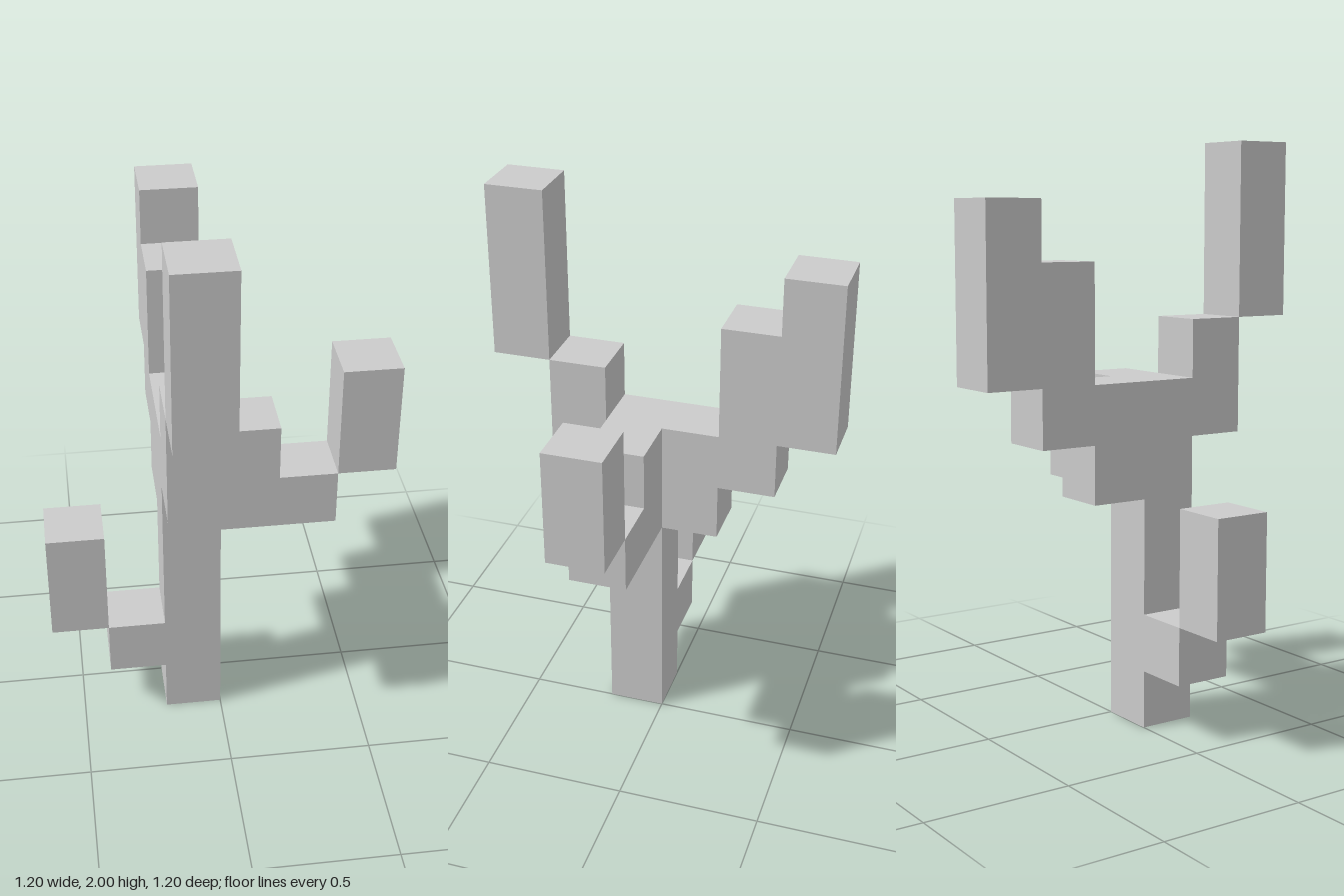
import * as THREE from 'three';

const UNIT = 0.2; // one block of the cactus grid

export function createModel() {
  const model = new THREE.Group();
  model.name = 'blockCactus';
  const material = new THREE.MeshStandardMaterial({ color: 0xcccccc, flatShading: true });

  // One square column: dx, dz are block steps from the trunk, y0..y1 its height range in blocks
  const column = (name, dx, dz, y0, y1) => {
    const mesh = new THREE.Mesh(new THREE.BoxGeometry(UNIT, (y1 - y0) * UNIT, UNIT), material);
    mesh.name = name;
    mesh.position.set((dx - 0.5) * UNIT, ((y0 + y1) / 2) * UNIT, (dz + 0.5) * UNIT);
    return mesh;
  };

  model.add(column('trunk', 0, 0, 0, 6));

  // Each arm steps outward from the trunk, one column per step: [bottom, top]
  const arms = [
    { name: 'leftArm', dir: [1, 0], steps: [[4, 6], [4, 5], [5, 7]] },
    { name: 'rightArm', dir: [-1, 0], steps: [[1, 2], [2, 4]] },
    { name: 'frontArm', dir: [0, 1], steps: [[5, 7], [7, 10]] },
    { name: 'backArm', dir: [0, -1], steps: [[4, 6], [5, 8], [6, 9]] },
  ];
  for (const { name, dir, steps } of arms) {
    const arm = new THREE.Group();
    arm.name = name;
    steps.forEach(([y0, y1], i) => {
      arm.add(column(`${name}Segment${i + 1}`, dir[0] * (i + 1), dir[1] * (i + 1), y0, y1));
    });
    model.add(arm);
  }
  return model;
}
